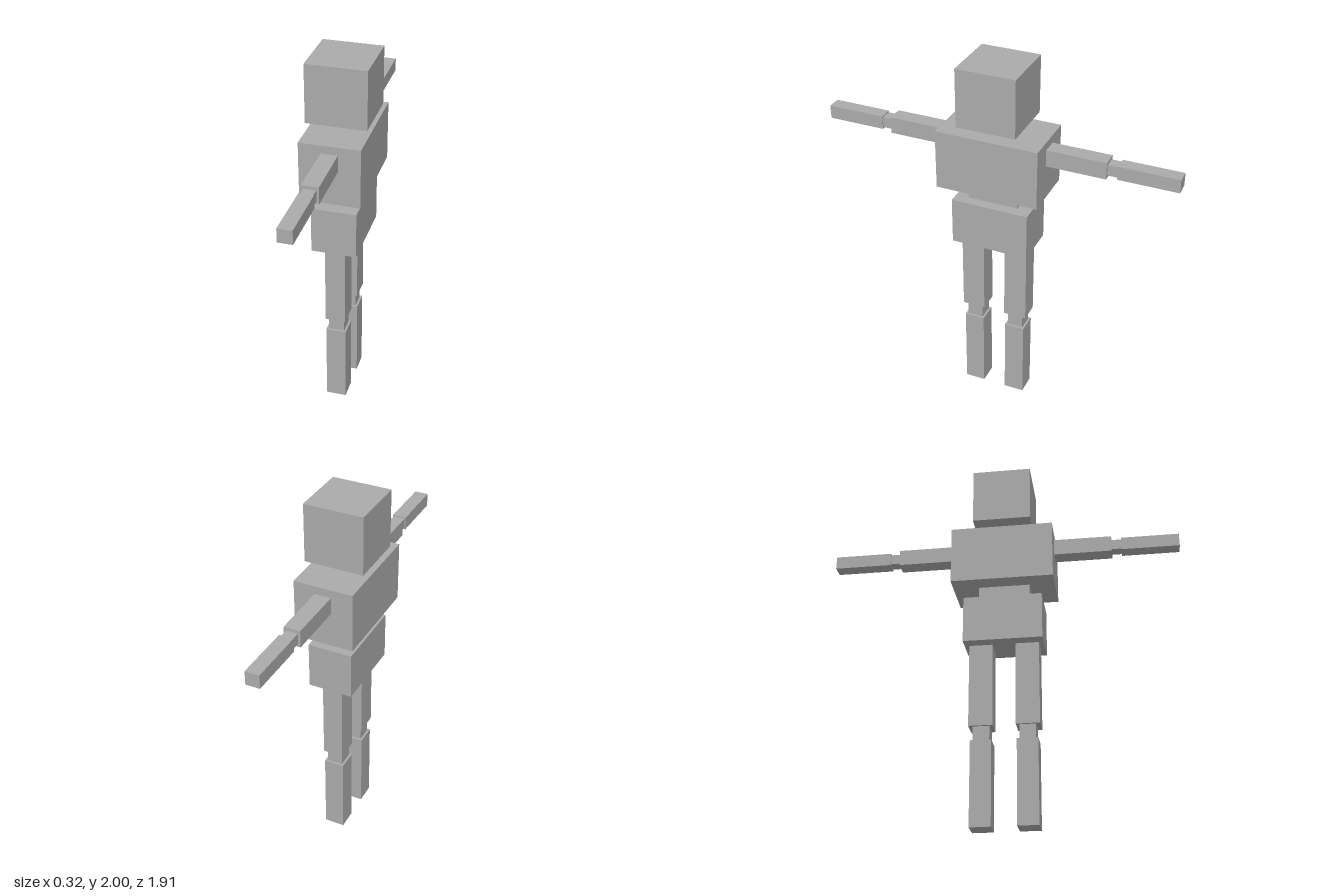
import * as THREE from 'three';

export function createModel() {
  const model = new THREE.Group();
  model.name = 'blockFigure';

  const grey = new THREE.MeshStandardMaterial({ color: 0xaaaaaa });
  grey.name = 'grey';

  // Box centred on x, given its width and its y and z ranges
  function block(name, width, [y0, y1], [z0, z1], parent = model) {
    const mesh = new THREE.Mesh(new THREE.BoxGeometry(width, y1 - y0, z1 - z0), grey);
    mesh.position.set(0, (y0 + y1) / 2, (z0 + z1) / 2);
    mesh.name = name;
    parent.add(mesh);
  }

  // Head and trunk
  block('head', 0.316, [1.688, 2], [-0.158, 0.158]);
  block('neck', 0.114, [1.64, 1.688], [-0.053, 0.053]);
  block('chest', 0.316, [1.32, 1.64], [-0.275, 0.275]);
  block('waist', 0.126, [1.235, 1.32], [-0.135, 0.14]);
  block('pelvis', 0.24, [0.98, 1.235], [-0.21, 0.21]);

  // Limbs lie along z, one set on each side
  for (const side of [1, -1]) {
    const span = (a, b) => (side > 0 ? [a, b] : [-b, -a]);

    const arm = new THREE.Group();
    arm.name = side > 0 ? 'frontArm' : 'backArm';
    block('upperArm', 0.087, [1.507, 1.597], span(0.275, 0.588), arm);
    block('elbow', 0.062, [1.523, 1.58], span(0.588, 0.641), arm);
    block('forearm', 0.074, [1.515, 1.587], span(0.641, 0.953), arm);

    const leg = new THREE.Group();
    leg.name = side > 0 ? 'frontLeg' : 'backLeg';
    block('thigh', 0.11, [0.53, 0.98], span(0.06, 0.185), leg);
    block('knee', 0.086, [0.452, 0.53], span(0.077, 0.163), leg);
    block('shin', 0.11, [0, 0.452], span(0.065, 0.175), leg);

    model.add(arm, leg);
  }
  return model;
}
